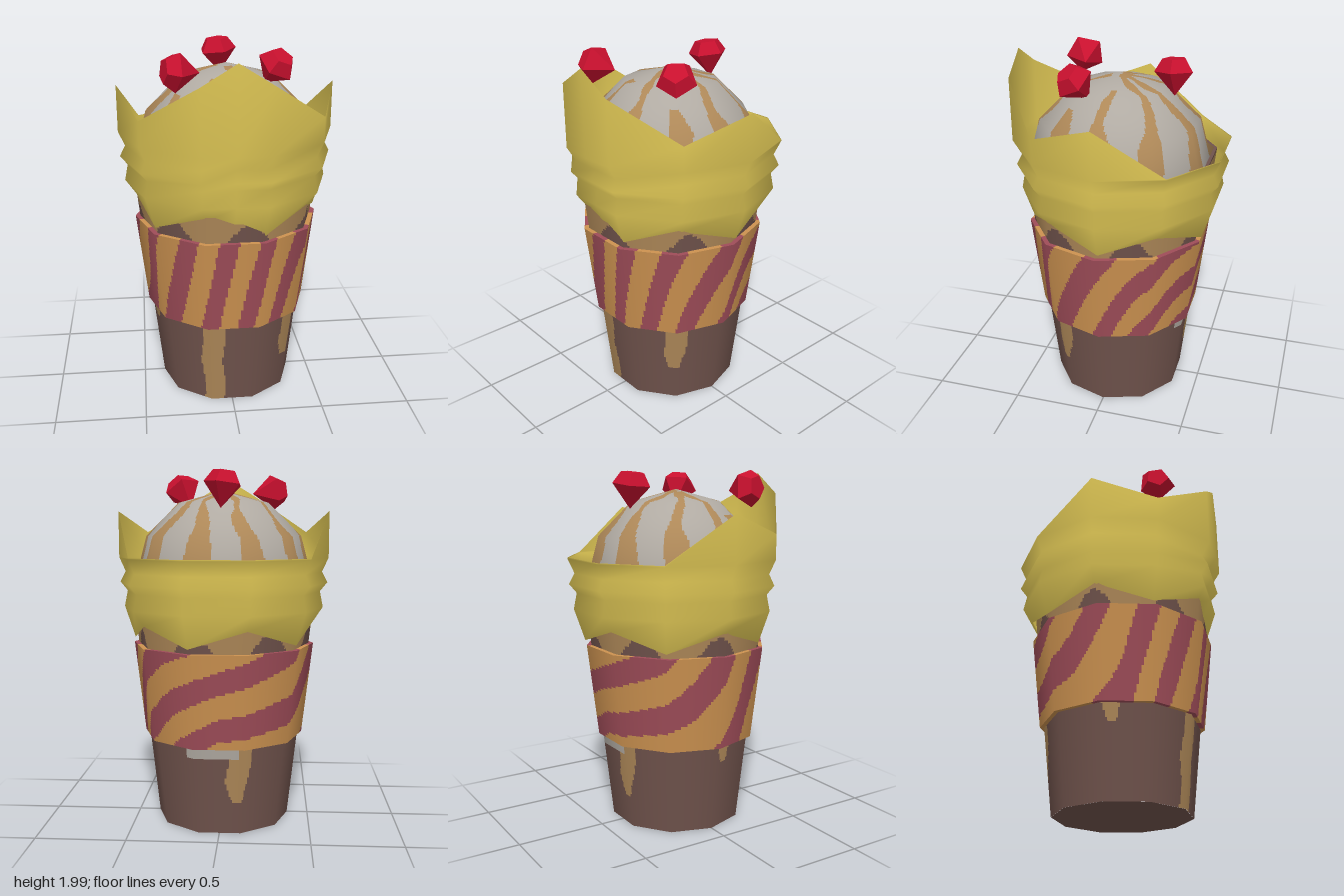
import * as THREE from 'three';

const mat = (name, color, extra = {}) => new THREE.MeshStandardMaterial({ name, color, ...extra });
const RAD = Math.PI / 180;

// Point on a unit decagon with flat sides at the front and back; a = 0 is +z, a = 90 is +x
function decagon(a) {
  const k = Math.floor((a - 18) / 36), t = (a - 18) / 36 - k;
  const p = (18 + 36 * k) * RAD, q = p + 36 * RAD;
  return [Math.sin(p) * (1 - t) + Math.sin(q) * t, Math.cos(p) * (1 - t) + Math.cos(q) * t];
}

// Ten-sided shell made of bands { from, to: [radius, y, normalR, normalY], rows };
// paint(angle, y, radius) picks the material of each small cell
function paintedShell(name, bands, materials, paint) {
  const COLS = 240, pos = [], nor = [], lists = materials.map(() => []);
  for (const { from, to, rows } of bands) {
    const base = pos.length / 3;
    const at = (j) => from.map((v, n) => v + (to[n] - v) * j / rows);
    for (let j = 0; j <= rows; j++) {
      const [r, y, nr, ny] = at(j);
      for (let i = 0; i <= COLS; i++) {
        const a = 18 + i * 360 / COLS, [x, z] = decagon(a);
        const n = new THREE.Vector3(Math.sin(a * RAD) * nr, ny, Math.cos(a * RAD) * nr).normalize();
        pos.push(x * r, y, z * r);
        nor.push(n.x, n.y, n.z);
      }
    }
    for (let j = 0; j < rows; j++) for (let i = 0; i < COLS; i++) {
      const [r, y] = at(j + 0.5);
      let a = 18 + (i + 0.5) * 360 / COLS;
      if (a > 180) a -= 360;
      const p = base + j * (COLS + 1) + i, q = p + COLS + 1;
      lists[paint(a, y, r)].push(p, p + 1, q + 1, p, q + 1, q);
    }
  }
  const geo = new THREE.BufferGeometry();
  geo.setAttribute('position', new THREE.Float32BufferAttribute(pos, 3));
  geo.setAttribute('normal', new THREE.Float32BufferAttribute(nor, 3));
  geo.setIndex(lists.flat());
  let start = 0;
  lists.forEach((l, m) => { geo.addGroup(start, l.length, m); start += l.length; });
  const mesh = new THREE.Mesh(geo, materials);
  mesh.name = name;
  return mesh;
}

function lookUp(table, x) {
  let i = 0;
  while (i < table.length - 2 && x > table[i + 1][0]) i++;
  const [[x0, y0], [x1, y1]] = [table[i], table[i + 1]];
  return y0 + (y1 - y0) * (x - x0) / (x1 - x0);
}

// Angular distance in degrees
const apart = (a, b) => Math.abs(((a - b + 540) % 360) - 180);

// Cup: syrup drips below the sleeve, a wavy syrup line above it
const drips = [[-16, 9, -1], [53, 9, 0.21], [-165, 9, 0.19], [-84, 7, 0.4]];
function paintCup(a, y, r) {
  if (r < 0.378 || y > 1.44) return 0;
  if (y > 0.9) return y > 1.03 + 0.09 * Math.cos(7 * (a - 9) * RAD) ? 1 : 0;
  if (y > 0.44 && apart(a, 175) < 20) return 2;
  for (const [c, w, end] of drips) {
    const taper = Math.min(1, 0.45 + (y - end) * 5);
    if (y > end && apart(a, c + 1.5 * Math.sin(y * 18)) < w * taper) return 1;
  }
  return 0;
}

// Sleeve stripes: angle-to-stripe-number along the top and bottom edges
const topStripes = [[-180, -4.6], [-130, -4], [-90, -3], [-58, -2], [-29, -1], [-3, 0], [21, 1], [50, 2], [92, 3], [140, 4], [180, 4.4]];
const lowStripes = [[-180, -2.6], [-110, -2.4], [-74, -2], [-48, -1], [-16, 0], [8, 1], [33, 2], [58, 3], [93, 4], [117, 5], [150, 5.9], [180, 6.4]];
function paintSleeve(a, y) {
  const t = (y - 0.495) / 0.525;
  const s = lookUp(topStripes, a) * t + lookUp(lowStripes, a) * (1 - t);
  return Math.abs(s - Math.round(s)) < 0.24 ? 1 : 0;
}

// Dome streaks: [angle, radius where it begins]
const streaks = [[-158, 0.02], [162, 0.02], [130, 0.03], [92, 0.18], [52, 0.32], [14, 0.04], [-24, 0.2], [-58, 0.33], [-86, 0.04], [-118, 0.04]];
function paintDome(a, y, r) {
  for (let i = 0; i < streaks.length; i++) {
    const [c, begin] = streaks[i];
    const width = 0.022 + 0.28 * Math.max(0, r - 0.3) + 0.006 * Math.sin(r * 40 + i);
    if (r > begin && apart(a, c + 5 * Math.sin(r * 14 + i * 2)) * RAD * r < width) return 1;
  }
  return 0;
}

// Foil wrapper: cross-section rings with a zigzag hem and a crown-like rim
function foilGeometry() {
  const angles = [0, ...Array.from({ length: 10 }, (_, i) => 18 + 36 * i)];
  const crown = [1.86, 1.65, 1.77, 1.517, 1.517, 1.517, 1.517, 1.77, 1.65, 1.86];
  const rings = [[0.51, 0], [0.57, 1.23], [0.552, 1.32], [0.593, 1.37], [0.562, 1.43], [0.598, 1.51], [0.598, 0]];
  const pos = [], index = [], n = angles.length;
  rings.forEach(([r, ringY], j) => angles.forEach((a, i) => {
    const [x, z] = decagon(a);
    let y = ringY;
    if (j === 0) y = i === 0 ? 1.098 : i % 2 ? 1.05 : 1.146;
    if (j === 6) y = i === 0 ? 1.975 : crown[i - 1];
    const push = j < 5 ? 0 : i === 0 ? 0.024 : i === 1 || i === 10 ? 0.012 : 0;
    pos.push(x * r, y, z * r - 0.018 + push);
    if (j < 6) {
      const p = j * n + i, p1 = j * n + (i + 1) % n;
      index.push(p, p1, p1 + n, p, p1 + n, p + n);
    }
  }));
  const geo = new THREE.BufferGeometry();
  geo.setAttribute('position', new THREE.Float32BufferAttribute(pos, 3));
  geo.setIndex(index);
  geo.computeVertexNormals();
  return geo;
}

export function createModel() {
  const model = new THREE.Group();
  model.name = 'sundaeCup';
  const brown = mat('cupBrown', 0x70534c), tan = mat('syrupTan', 0xae8858), cream = mat('cream', 0xb0aaa2);
  const orange = mat('sleeveOrange', 0xcc9250), berry = mat('sleeveBerry', 0x9e4c58);
  const gold = mat('foilGold', 0xdfc755, { side: THREE.DoubleSide });
  const red = mat('gemRed', 0xc8102e);

  // Cup with base, rim and inner lip
  model.add(paintedShell('cup', [
    { from: [0, 0, 0, -1], to: [0.378, 0, 0, -1], rows: 1 },
    { from: [0.379, 0, 1, -0.11], to: [0.54, 1.45, 1, -0.11], rows: 80 },
    { from: [0.54, 1.45, 0, 1], to: [0.522, 1.45, 0, 1], rows: 1 },
    { from: [0.522, 1.45, -1, 0], to: [0.51, 1.34, -1, 0], rows: 1 },
  ], [brown, tan, cream], paintCup));

  // Striped sleeve
  model.add(paintedShell('sleeve', [
    { from: [0.425, 0.495, 0, -1], to: [0.458, 0.495, 0, -1], rows: 2 },
    { from: [0.458, 0.495, 1, -0.11], to: [0.519, 1.02, 1, -0.11], rows: 36 },
    { from: [0.519, 1.02, 0, 1], to: [0.485, 1.02, 0, 1], rows: 2 },
  ], [orange, berry], paintSleeve));

  // Ice cream dome
  const domePoint = (e) => [0.51 * Math.cos(e * RAD), 1.378 + 0.507 * Math.sin(e * RAD), Math.cos(e * RAD), Math.sin(e * RAD)];
  model.add(paintedShell('iceCreamDome',
    [0, 30, 60].map((e) => ({ from: domePoint(e), to: domePoint(e + 30), rows: 16 })),
    [cream, tan], paintDome));

  const foil = new THREE.Mesh(foilGeometry(), gold);
  foil.name = 'foilWrapper';
  model.add(foil);

  // Five-sided cut gems: position of the girdle, axis from point to table, spin
  const profile = [[0, -0.13], [0.108, 0], [0.066, 0.065], [0, 0.065]].map(([x, y]) => new THREE.Vector2(x, y));
  const gemGeo = new THREE.LatheGeometry(profile, 5).toNonIndexed();
  gemGeo.computeVertexNormals();
  const gems = [
    [[-0.02, 1.91, -0.29], [-0.12, 1, 0.05], 0.3],
    [[0.25, 1.895, 0.175], [0.5, 0.9, 0.55], 0.8],
    [[-0.285, 1.89, 0.285], [-1, 0.12, 0.3], 0.2],
  ];
  for (const [p, axis, spin] of gems) {
    const gem = new THREE.Mesh(gemGeo, red);
    gem.name = 'gem';
    gem.position.set(...p);
    gem.quaternion.setFromUnitVectors(new THREE.Vector3(0, 1, 0), new THREE.Vector3(...axis).normalize());
    gem.rotateY(spin);
    model.add(gem);
  }
  return model;
}
